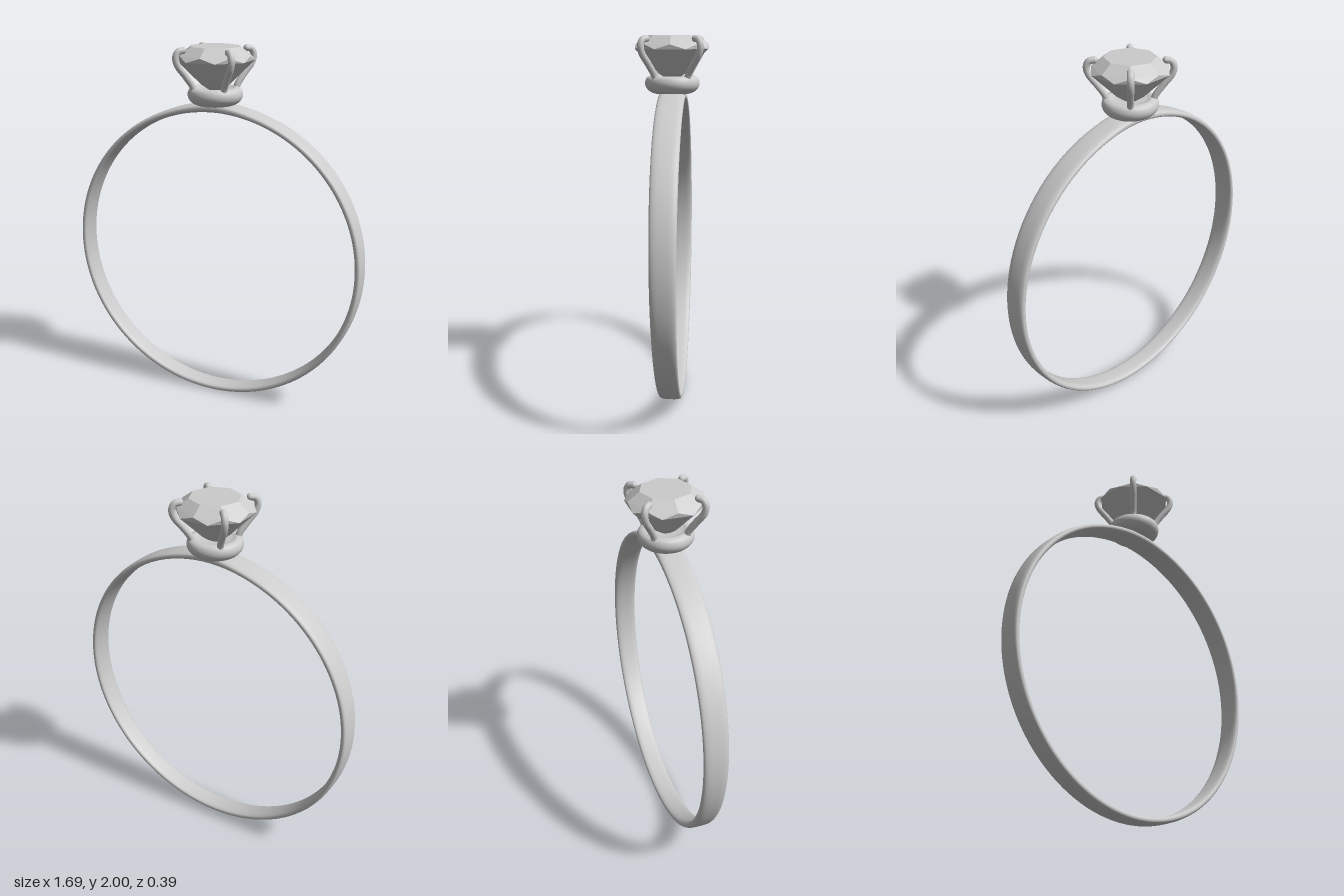
import * as THREE from 'three';
import { ConvexGeometry } from 'three/addons/geometries/ConvexGeometry.js';
import { mergeVertices } from 'three/addons/utils/BufferGeometryUtils.js';

const CENTRE_Y = 0.849, INNER = 0.807, OUTER = 0.845;

// Closed loop of rounded sections, wider towards the top
function bandGeometry(steps = 160, sides = 28) {
  const pos = [], index = [];
  const soft = (v, e) => Math.sign(v) * Math.pow(Math.abs(v), e);
  for (let i = 0; i < steps; i++) {
    const a = (i / steps) * Math.PI * 2;
    const up = (Math.cos(a) + 1) / 2;
    const swell = 0.012 * Math.exp(-Math.pow(Math.sin(a) / 0.2, 2)) * (Math.cos(a) > 0 ? 1 : 0);
    const front = 0.041 + 0.028 * up, back = -0.073;
    const midR = (INNER + OUTER + swell) / 2, halfR = (OUTER + swell - INNER) / 2;
    for (let j = 0; j < sides; j++) {
      const b = (j / sides) * Math.PI * 2;
      const r = midR + halfR * soft(Math.cos(b), 0.75);
      const z = (front + back) / 2 + ((front - back) / 2) * soft(Math.sin(b), 0.6);
      pos.push(Math.sin(a) * r, CENTRE_Y + Math.cos(a) * r, z);
      const n = ((i + 1) % steps) * sides, k = (j + 1) % sides, c = i * sides;
      index.push(c + j, c + k, n + j, c + k, n + k, n + j);
    }
  }
  const g = new THREE.BufferGeometry();
  g.setAttribute('position', new THREE.Float32BufferAttribute(pos, 3));
  g.setIndex(index);
  g.computeVertexNormals();
  return g;
}

// Faceted stone: rings of eight points around a culet
function stoneGeometry() {
  const points = [new THREE.Vector3(0, 1.75, 0)];
  const ring = (r, y, turn) => {
    for (let i = 0; i < 8; i++) {
      const a = ((i + turn) * Math.PI) / 4;
      points.push(new THREE.Vector3(r * Math.cos(a), y, r * Math.sin(a)));
    }
  };
  ring(0.075, 1.8, 0.5);   // lower pavilion
  ring(0.208, 1.93, 0.5);  // girdle corners
  ring(0.196, 1.955, 0);   // girdle sides
  ring(0.135, 2.0, 0);     // table
  return new ConvexGeometry(points);
}

export function createModel() {
  const group = new THREE.Group();
  group.name = 'ring';
  const metal = new THREE.MeshStandardMaterial({ color: 0xcccccc });
  const facet = new THREE.MeshStandardMaterial({ color: 0xcccccc, flatShading: true });
  const add = (name, geometry, material, parent = group) => {
    const mesh = new THREE.Mesh(geometry, material);
    mesh.name = name;
    parent.add(mesh);
    return mesh;
  };

  add('band', bandGeometry(), metal);

  // Rounded cup that holds the stone
  const outline = new THREE.SplineCurve([
    [0.001, 1.688], [0.07, 1.69], [0.112, 1.7], [0.138, 1.722], [0.147, 1.75],
    [0.137, 1.778], [0.11, 1.788], [0.08, 1.778], [0.001, 1.77],
  ].map(([r, y]) => new THREE.Vector2(r, y)));
  const cup = mergeVertices(new THREE.LatheGeometry(outline.getPoints(36), 48).deleteAttribute('uv'));
  add('settingCup', cup, metal);

  add('stone', stoneGeometry(), facet);

  // Four claws on the diagonals, hooked over the girdle
  const path = new THREE.CatmullRomCurve3([
    [0.12, 1.75], [0.125, 1.79], [0.165, 1.85], [0.21, 1.91],
    [0.219, 1.95], [0.205, 1.978], [0.178, 1.984],
  ].map(([r, y]) => new THREE.Vector3(r, y, 0)));
  const clawGeometry = new THREE.TubeGeometry(path, 36, 0.018, 12);
  const tipGeometry = new THREE.SphereGeometry(0.018, 12, 8);
  for (let i = 0; i < 4; i++) {
    const claw = new THREE.Group();
    claw.name = 'claw';
    claw.rotation.y = Math.PI / 4 + (i * Math.PI) / 2;
    add('clawArm', clawGeometry, metal, claw);
    add('clawTip', tipGeometry, metal, claw).position.copy(path.getPoint(1));
    group.add(claw);
  }
  return group;
}
